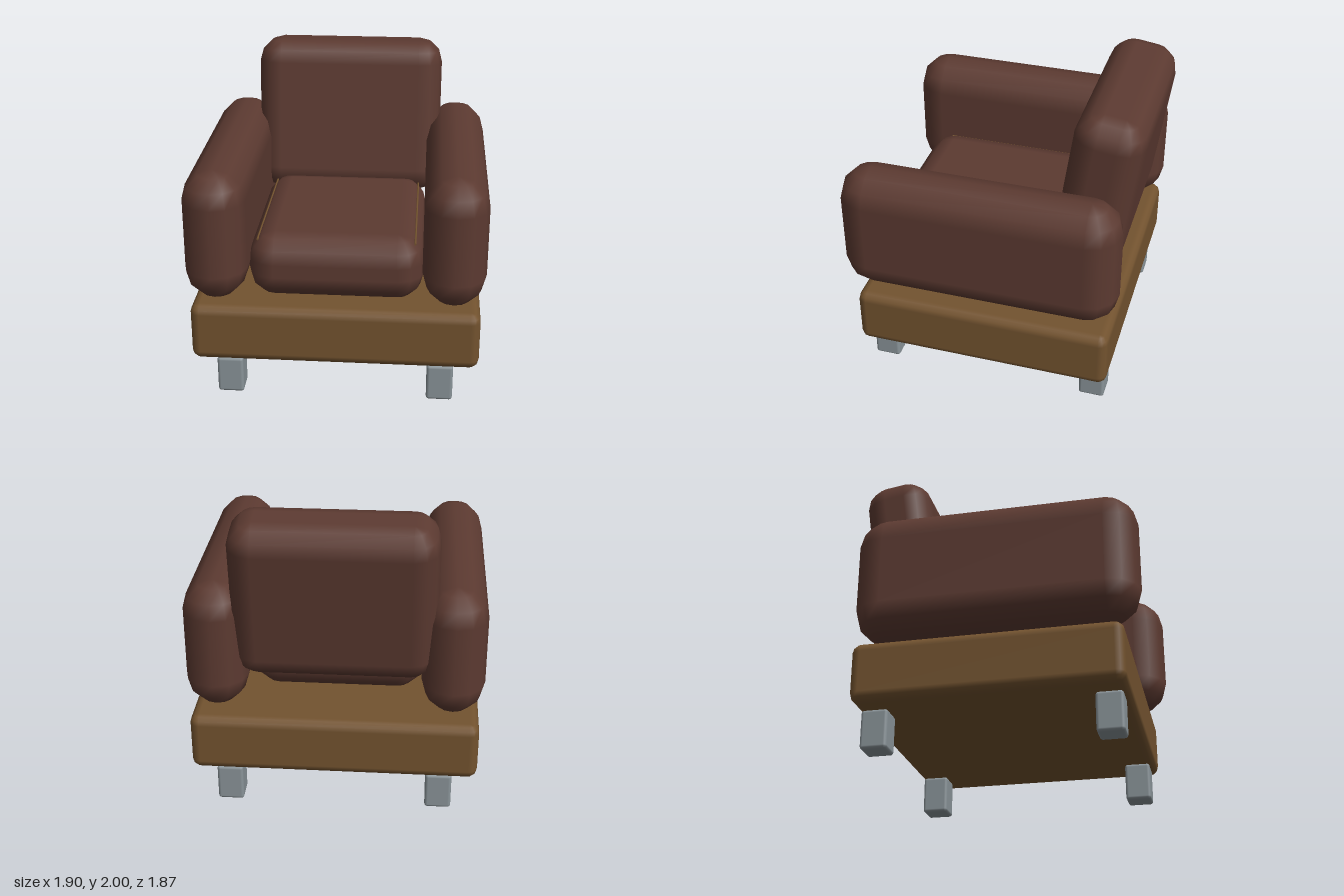
import * as THREE from 'three';

const STEPS = 3; // chords per rounded quarter turn

// Box with evenly stepped round edges: a sphere split into eight octants pulled apart.
function pillowGeometry(w, h, d, r) {
  const hx = w / 2 - r, hy = h / 2 - r, hz = d / 2 - r;
  const n = STEPS + 1, cols = 4 * n, rows = 2 * n;
  const pos = [], nor = [], idx = [];
  for (let j = 0; j < rows; j++) {
    const half = j < n ? -1 : 1;
    const lat = ((j % n) / STEPS - (half < 0 ? 1 : 0)) * Math.PI / 2;
    for (let i = 0; i < cols; i++) {
      const q = Math.floor(i / n);
      const lon = (q + (i % n) / STEPS) * Math.PI / 2;
      const nx = Math.cos(lat) * Math.sin(lon);
      const ny = Math.sin(lat);
      const nz = Math.cos(lat) * Math.cos(lon);
      const sx = q < 2 ? 1 : -1, sz = q === 0 || q === 3 ? 1 : -1;
      pos.push(sx * hx + r * nx, half * hy + r * ny, sz * hz + r * nz);
      nor.push(nx, ny, nz);
    }
  }
  for (let j = 0; j < rows - 1; j++) {
    for (let i = 0; i < cols; i++) {
      const k = (i + 1) % cols;
      const a = j * cols + i, b = j * cols + k, c = b + cols, e = a + cols;
      idx.push(a, b, c, a, c, e);
    }
  }
  // flat top and bottom
  const t = (rows - 1) * cols;
  idx.push(t, t + n, t + 2 * n, t, t + 2 * n, t + 3 * n);
  idx.push(0, 2 * n, n, 0, 3 * n, 2 * n);
  const g = new THREE.BufferGeometry();
  g.setAttribute('position', new THREE.Float32BufferAttribute(pos, 3));
  g.setAttribute('normal', new THREE.Float32BufferAttribute(nor, 3));
  g.setIndex(idx);
  return g;
}

export function createModel() {
  const model = new THREE.Group();
  model.name = 'armchair';

  const material = (name, color) => {
    const m = new THREE.MeshStandardMaterial({ color });
    m.name = name;
    return m;
  };
  const leather = material('brown leather', 0x5c3a31);
  const wood = material('wood', 0x73532f);
  const metal = material('grey metal', 0x8a9499);

  const add = (name, geometry, mat, x, y, z) => {
    const mesh = new THREE.Mesh(geometry, mat);
    mesh.name = name;
    mesh.position.set(x, y, z);
    model.add(mesh);
    return mesh;
  };

  // wooden base
  add('base', pillowGeometry(1.85, 0.385, 1.68, 0.06), wood, 0, 0.4425, 0);

  // cushions
  add('seatCushion', pillowGeometry(1.12, 0.425, 1.26, 0.17), leather, 0, 0.8675, 0.14);
  const back = add('backrest', pillowGeometry(1.28, 1.07, 0.45, 0.16), leather, 0, 1.46, -0.658);
  back.rotation.x = -0.14;

  // mirrored arms, seat piping and legs
  const armGeo = pillowGeometry(0.4, 0.85, 1.81, 0.199);
  const legGeo = pillowGeometry(0.17, 0.25, 0.17, 0.02);
  const pipingGeo = new THREE.CylinderGeometry(0.007, 0.007, 1.02, 8).rotateX(Math.PI / 2);
  for (const [side, s] of [['left', 1], ['right', -1]]) {
    add(side + 'Arm', armGeo, leather, s * 0.75, 1.115, 0.035);
    add(side + 'Piping', pipingGeo, wood, s * 0.5, 1.034, 0.135);
    add(side + 'FrontLeg', legGeo, metal, s * 0.68, 0.125, 0.72);
    add(side + 'BackLeg', legGeo, metal, s * 0.68, 0.125, -0.72);
  }
  return model;
}
